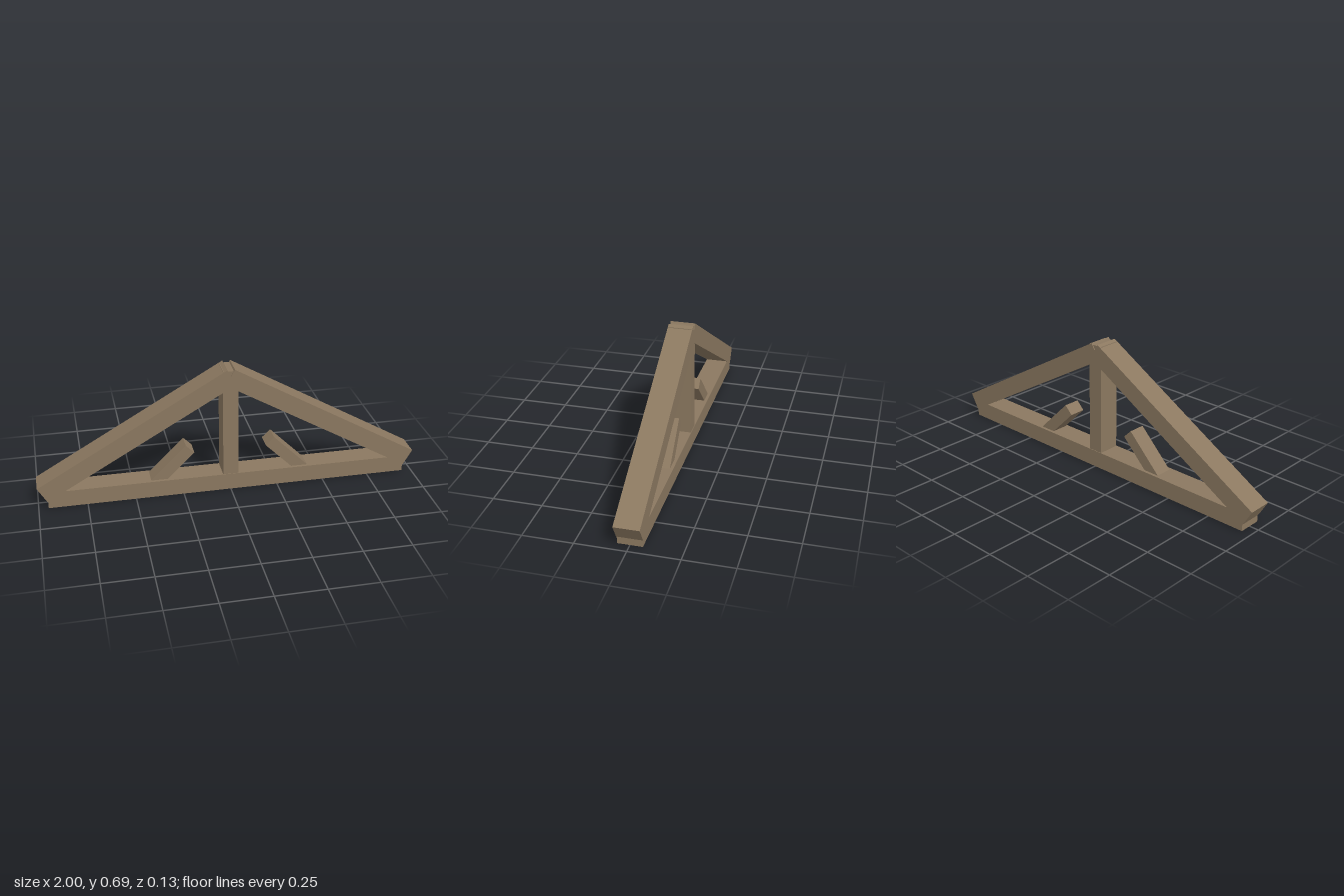
import * as THREE from 'three';

export function createModel() {
  const model = new THREE.Group();
  model.name = 'roofTruss';

  const wood = new THREE.MeshStandardMaterial({ color: 0x8b7860 });
  wood.name = 'weathered wood';

  // One squared timber, tilted about z
  function timber(name, [length, height, depth], [x, y], angle = 0) {
    const mesh = new THREE.Mesh(new THREE.BoxGeometry(length, height, depth), wood);
    mesh.name = name;
    mesh.position.set(x, y, 0);
    mesh.rotation.z = angle;
    model.add(mesh);
  }

  // Tie beam along the bottom and the upright in the middle
  timber('tieBeam', [1.9, 0.09, 0.122], [0, 0.045]);
  timber('kingPost', [0.08, 0.637, 0.116], [0, 0.3585]);

  // Sloping rafters and short braces, mirrored
  for (const [side, s] of [['left', 1], ['right', -1]]) {
    timber(side + 'Rafter', [1.132, 0.095, 0.126], [s * 0.4865, 0.3615], -s * Math.PI / 6);
    timber(side + 'Brace', [0.29, 0.062, 0.09], [s * 0.3135, 0.15], -s * Math.PI / 4);
  }

  return model;
}
